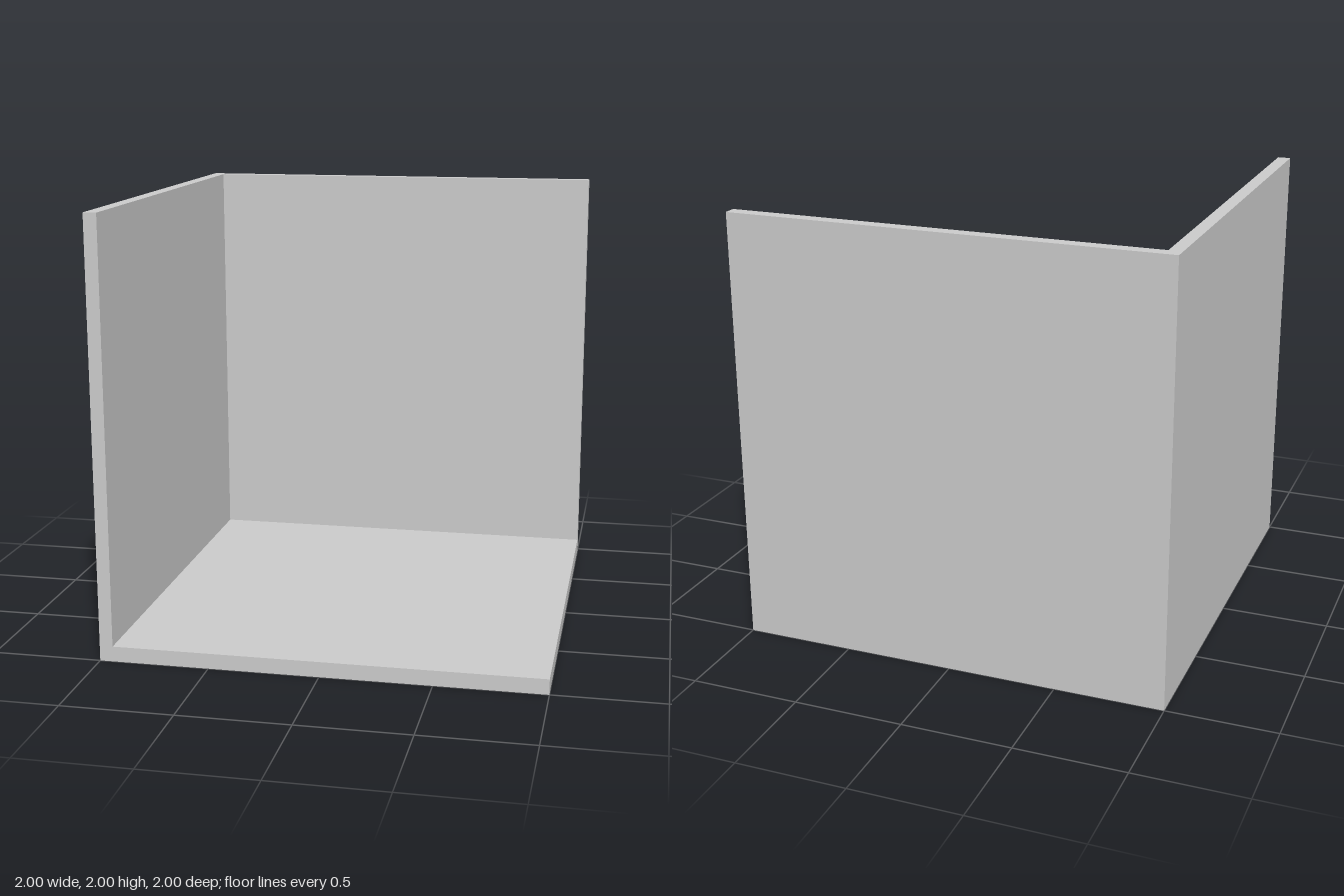
import * as THREE from 'three';

const SIZE = 2;
const WALL = 0.06; // wall thickness
const FLOOR = 0.07; // floor thickness

export function createModel() {
  const group = new THREE.Group();
  group.name = 'roomCorner';
  const material = new THREE.MeshStandardMaterial({ color: 0xcccccc });

  // Box given by its minimum and maximum corners
  const slab = (name, min, max) => {
    const [w, h, d] = max.map((v, i) => v - min[i]);
    const mesh = new THREE.Mesh(new THREE.BoxGeometry(w, h, d), material);
    mesh.position.set(min[0] + w / 2, min[1] + h / 2, min[2] + d / 2);
    mesh.name = name;
    group.add(mesh);
  };

  // Floor with two walls standing on it, meeting at the back corner
  slab('floor', [-1, 0, -1], [1, FLOOR, 1]);
  slab('backWall', [-1, FLOOR, -1], [1, SIZE, -1 + WALL]);
  slab('sideWall', [-1, FLOOR, -1 + WALL], [-1 + WALL, SIZE, 1]);

  return group;
}
